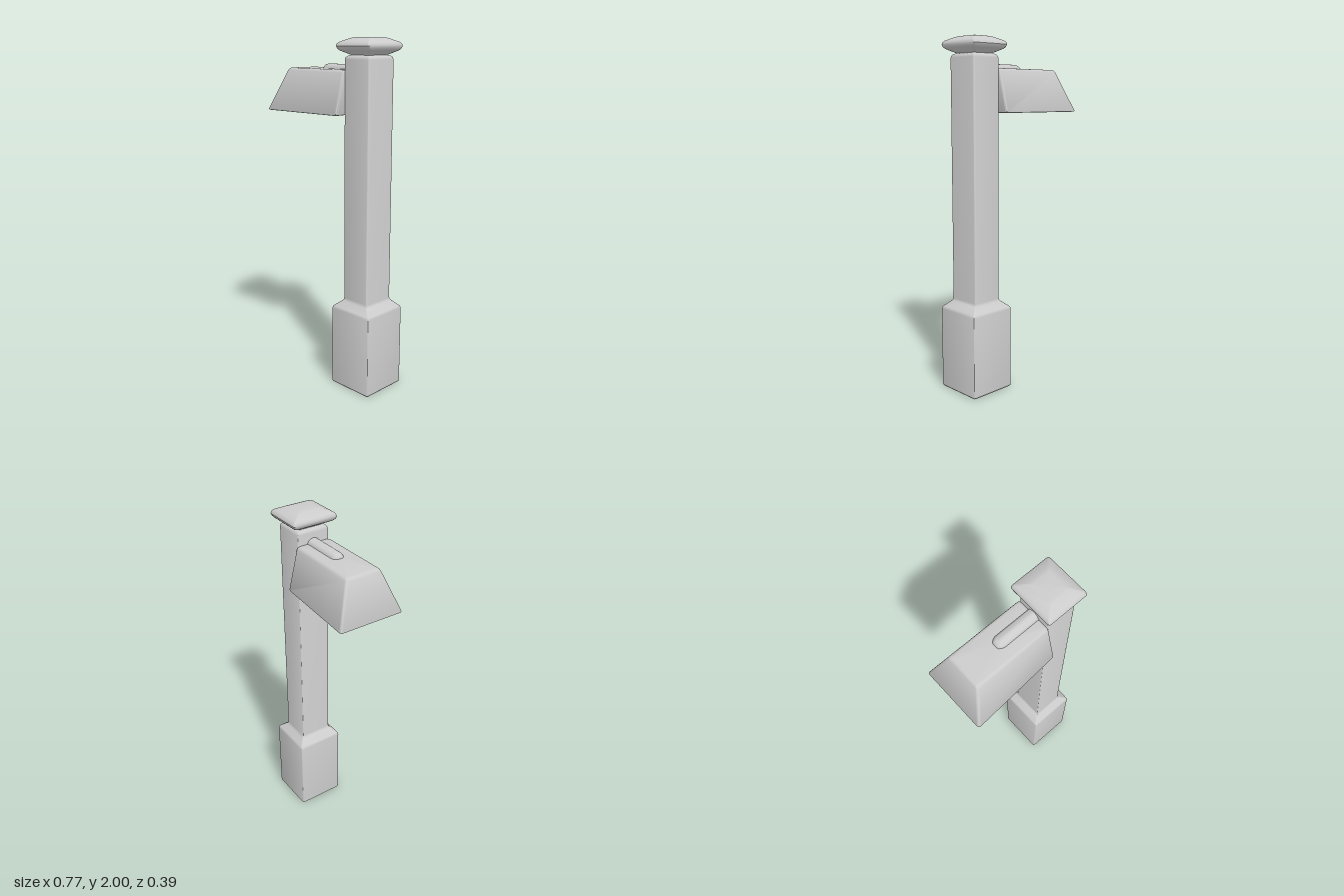
import * as THREE from 'three';
import { toCreasedNormals } from 'three/addons/utils/BufferGeometryUtils.js';

// Closed loop of points around four [x, z] corners, each corner rounded by r
function ring(corners, y, r, steps = 4) {
  const points = [];
  corners.forEach(([x, z], i) => {
    const c = new THREE.Vector3(x, y, z);
    const towards = ([px, pz]) => {
      const p = new THREE.Vector3(px, y, pz);
      return c.clone().addScaledVector(p.sub(c).normalize(), r);
    };
    const curve = new THREE.QuadraticBezierCurve3(
      towards(corners[(i + 3) % 4]), c, towards(corners[(i + 1) % 4]));
    points.push(...curve.getPoints(steps));
  });
  return points;
}

// Skin a stack of rings from bottom to top and close both ends
function loft(name, rings, material) {
  const positions = [];
  const tri = (...vs) => vs.forEach((v) => positions.push(v.x, v.y, v.z));
  const n = rings[0].length;
  const centre = (loop) => loop.reduce((s, p) => s.add(p), new THREE.Vector3()).divideScalar(n);
  const first = rings[0], last = rings[rings.length - 1];
  const low = centre(first), high = centre(last);
  for (let i = 0; i < n; i++) {
    const j = (i + 1) % n;
    for (let k = 0; k < rings.length - 1; k++) {
      const a = rings[k], b = rings[k + 1];
      tri(a[i], a[j], b[j]);
      tri(a[i], b[j], b[i]);
    }
    tri(low, first[j], first[i]);
    tri(high, last[i], last[j]);
  }
  const geometry = new THREE.BufferGeometry();
  geometry.setAttribute('position', new THREE.Float32BufferAttribute(positions, 3));
  const mesh = new THREE.Mesh(toCreasedNormals(geometry, 0.65), material);
  mesh.name = name;
  return mesh;
}

const rect = (x0, x1, z) => [[x1, z], [x1, -z], [x0, -z], [x0, z]];

export function createModel() {
  const group = new THREE.Group();
  const material = new THREE.MeshStandardMaterial({ color: 0xcccccc });
  const postX = 0.239;

  // Rings given as [y, half width, half depth, corner radius]
  const column = (name, rows) => group.add(loft(name,
    rows.map(([y, w, d, r]) => ring(rect(postX - w, postX + w, d), y, r)), material));

  // Wide foot with a sloped shoulder, running up into the slim post
  column('post', [
    [0, 0.138, 0.138, 0.008], [0.006, 0.143, 0.143, 0.01],
    [0.47, 0.143, 0.143, 0.01], [0.479, 0.141, 0.141, 0.01], [0.486, 0.136, 0.136, 0.01],
    [0.518, 0.098, 0.104, 0.01], [0.525, 0.093, 0.1, 0.01], [0.535, 0.091, 0.098, 0.01],
    [1.885, 0.091, 0.098, 0.01], [1.896, 0.088, 0.095, 0.01],
    [1.904, 0.08, 0.087, 0.01], [1.908, 0.07, 0.077, 0.01],
  ]);

  // Cap flaring out from a narrow neck, then sloping to a flat top
  column('cap', [
    [1.895, 0.062, 0.068, 0.01], [1.909, 0.068, 0.076, 0.01],
    [1.932, 0.11, 0.121, 0.012], [1.942, 0.119, 0.131, 0.014], [1.955, 0.123, 0.136, 0.014],
    [1.967, 0.12, 0.132, 0.014], [1.976, 0.111, 0.122, 0.012],
    [1.994, 0.073, 0.081, 0.01], [1.998, 0.062, 0.07, 0.01], [2, 0.05, 0.058, 0.01],
  ]);

  // Lamp shade: tapers upward, and its bottom widens away from the post
  const bottom = { out: -0.386, inn: 0.152, zOut: 0.198, zIn: 0.164 };
  const top = { out: -0.3, inn: 0.152, zOut: 0.104, zIn: 0.104 };
  const shadeRing = ([y, inset]) => {
    const t = (y - 1.588) / (1.83 - 1.588);
    const mix = (key) => THREE.MathUtils.lerp(bottom[key], top[key], t);
    const x0 = mix('out') + inset, x1 = mix('inn') - inset;
    const z0 = mix('zOut') - inset, z1 = mix('zIn') - inset;
    return ring([[x1, z1], [x1, -z1], [x0, -z0], [x0, z0]], y, 0.016);
  };
  group.add(loft('lampShade', [
    [1.588, 0.008], [1.59, 0.003], [1.596, 0],
    [1.815, 0], [1.823, 0.002], [1.828, 0.006], [1.83, 0.014],
  ].map(shadeRing), material));

  // Round support arm lying on the shade, with a bevelled end
  const profile = [[0, 0], [0.02, 0], [0.027, 0.004], [0.036, 0.018], [0.04, 0.032], [0.04, 0.28], [0, 0.28]]
    .map(([r, h]) => new THREE.Vector2(r, h));
  const arm = new THREE.Mesh(toCreasedNormals(new THREE.LatheGeometry(profile, 24), 0.65), material);
  arm.name = 'supportArm';
  arm.rotation.z = -Math.PI / 2;
  arm.position.set(-0.1, 1.816, 0);
  group.add(arm);

  return group;
}
